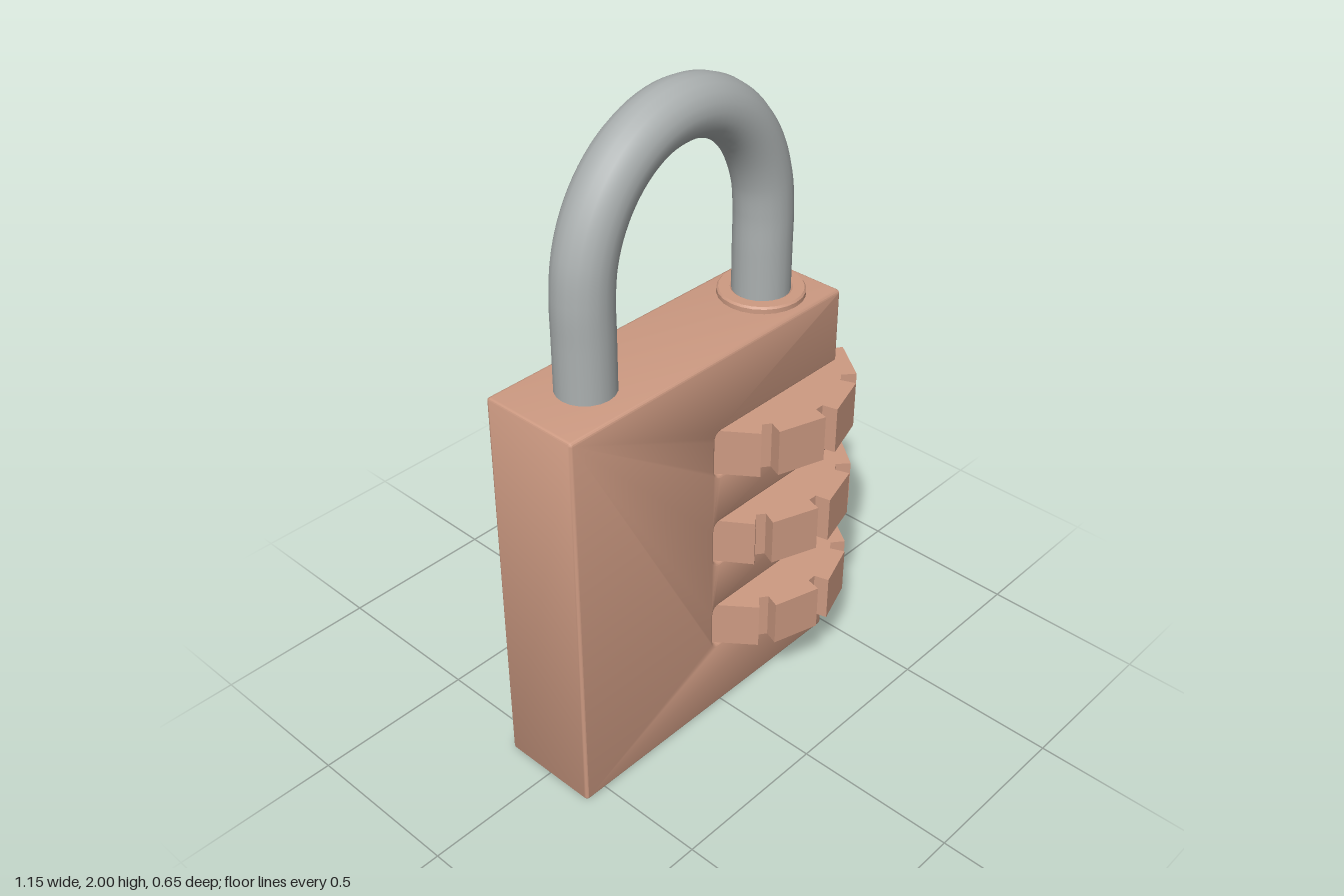
import * as THREE from 'three';
import { toCreasedNormals } from 'three/addons/utils/BufferGeometryUtils.js';

const wheelHeights = [0.314, 0.626, 0.938];
const wheelThickness = 0.146;

// Front outline with three slots open on the +x edge
function bodyGeometry() {
  const L = -0.575, R = 0.485, H = 1.25, c = 0.01, slotX = -0.04, r = 0.025, bevel = 0.012;
  const s = new THREE.Shape();
  s.moveTo(L + c, 0);
  s.lineTo(R - c, 0);
  s.quadraticCurveTo(R, 0, R, c);
  for (const y of wheelHeights) {
    const lo = y - 0.075, hi = y + 0.075;
    s.lineTo(R, lo);
    s.lineTo(slotX + r, lo);
    s.quadraticCurveTo(slotX, lo, slotX, lo + r);
    s.lineTo(slotX, hi - r);
    s.quadraticCurveTo(slotX, hi, slotX + r, hi);
    s.lineTo(R, hi);
  }
  s.lineTo(R, H - c);
  s.quadraticCurveTo(R, H, R - c, H);
  s.lineTo(L + c, H);
  s.quadraticCurveTo(L, H, L, H - c);
  s.lineTo(L, c);
  s.quadraticCurveTo(L, 0, L + c, 0);
  const g = new THREE.ExtrudeGeometry(s, {
    depth: 0.316 - 2 * bevel, bevelEnabled: true, bevelThickness: bevel,
    bevelSize: 0.008, bevelOffset: -0.008, bevelSegments: 3, curveSegments: 4,
  });
  g.translate(0, 0, -0.158 + bevel);
  return toCreasedNormals(g, 0.7);
}

// Ten flat teeth separated by narrow tapered notches
function wheelGeometry() {
  const pts = [];
  for (let i = 0; i < 10; i++) {
    const a = (i * Math.PI) / 5;
    const add = (r, t) => pts.push(new THREE.Vector2(r * Math.cos(a + t), r * Math.sin(a + t)));
    add(0.323, -0.235);
    add(0.323, 0.235);
    add(0.278, Math.PI / 10 - 0.052);
    add(0.278, Math.PI / 10 + 0.052);
  }
  const g = new THREE.ExtrudeGeometry(new THREE.Shape(pts), { depth: wheelThickness, bevelEnabled: false });
  g.translate(0, 0, -wheelThickness / 2);
  g.rotateX(-Math.PI / 2);
  return g;
}

// Two straight legs joined by an elliptical arch
function shackleGeometry() {
  const pts = [];
  const cx = -0.025, w = 0.345, spring = 1.52, rise = 0.395;
  for (const y of [1.2, 1.3, 1.41]) pts.push(new THREE.Vector3(cx - w, y, 0));
  for (let i = 0; i <= 12; i++) {
    const a = Math.PI * (1 - i / 12);
    pts.push(new THREE.Vector3(cx + w * Math.cos(a), spring + rise * Math.sin(a), 0));
  }
  for (const y of [1.41, 1.3, 1.2]) pts.push(new THREE.Vector3(cx + w, y, 0));
  return new THREE.TubeGeometry(new THREE.CatmullRomCurve3(pts), 72, 0.085, 20, false);
}

// Thin ring with a bevelled rim around one leg
function collarGeometry() {
  const profile = [[0.082, 0], [0.128, 0], [0.128, 0.015], [0.123, 0.021], [0.09, 0.021], [0.082, 0.015]];
  const g = new THREE.LatheGeometry(profile.map(([x, y]) => new THREE.Vector2(x, y)), 24);
  return toCreasedNormals(g, 0.6);
}

export function createModel() {
  const copper = new THREE.MeshStandardMaterial({ color: 0xcd9a82 });
  copper.name = 'copper';
  const steel = new THREE.MeshStandardMaterial({ color: 0xabb0b0 });
  steel.name = 'steel';

  const model = new THREE.Group();
  model.name = 'combinationPadlock';
  const add = (name, geometry, material, x = 0, y = 0) => {
    const mesh = new THREE.Mesh(geometry, material);
    mesh.name = name;
    mesh.position.set(x, y, 0);
    model.add(mesh);
    return mesh;
  };

  add('body', bodyGeometry(), copper);
  add('shackle', shackleGeometry(), steel);
  add('collar', collarGeometry(), copper, 0.322, 1.249);

  // Number wheels, each turned slightly differently
  const wheel = wheelGeometry();
  const turns = [0.03, -0.03, 0];
  wheelHeights.forEach((y, i) => {
    add('numberWheel' + (i + 1), wheel, copper, 0.26, y).rotation.y = turns[i];
  });
  return model;
}
